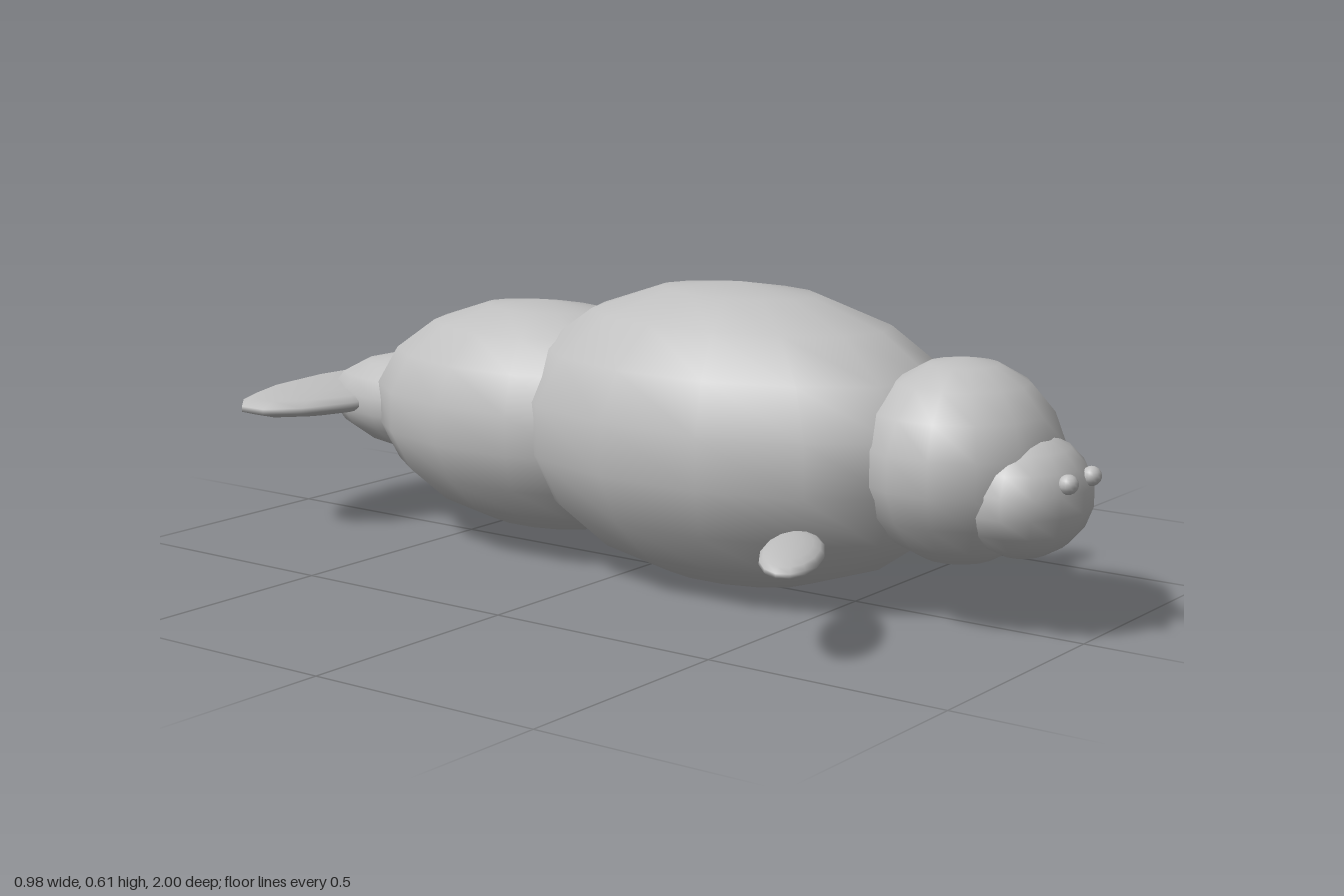
import * as THREE from 'three';

export function createModel() {
  const model = new THREE.Group();
  model.name = 'seaCow';
  const skin = new THREE.MeshStandardMaterial({ color: 0xbfbfbf });
  skin.name = 'grey skin';

  // Smooth ellipsoid with few sides; size gives the three half-axes
  function blob(name, size, position, turn = 0) {
    const geometry = new THREE.SphereGeometry(1, 14, 9);
    geometry.rotateY(Math.PI / 2);
    geometry.scale(...size);
    const mesh = new THREE.Mesh(geometry, skin);
    mesh.name = name;
    mesh.position.set(...position);
    mesh.rotation.y = turn;
    model.add(mesh);
  }

  // Trunk, from nose to tail
  blob('snout', [0.153, 0.119, 0.122], [0, 0.268, 0.87]);
  blob('head', [0.207, 0.199, 0.2], [0, 0.316, 0.73]);
  blob('body', [0.32, 0.307, 0.525], [0, 0.308, 0.214]);
  blob('hindBody', [0.259, 0.245, 0.43], [0, 0.289, -0.285]);
  blob('tailStock', [0.132, 0.11, 0.27], [0, 0.275, -0.617]);
  blob('tailFluke', [0.323, 0.035, 0.147], [0, 0.275, -0.855]);

  // Mirrored flippers and eyes
  for (const [side, s] of [['left', 1], ['right', -1]]) {
    blob(side + 'Flipper', [0.162, 0.023, 0.06], [s * 0.346, 0.178, 0.578], -s * 0.48);
    blob(side + 'Eye', [0.02, 0.019, 0.019], [s * 0.046, 0.31, 0.981]);
  }
  return model;
}
